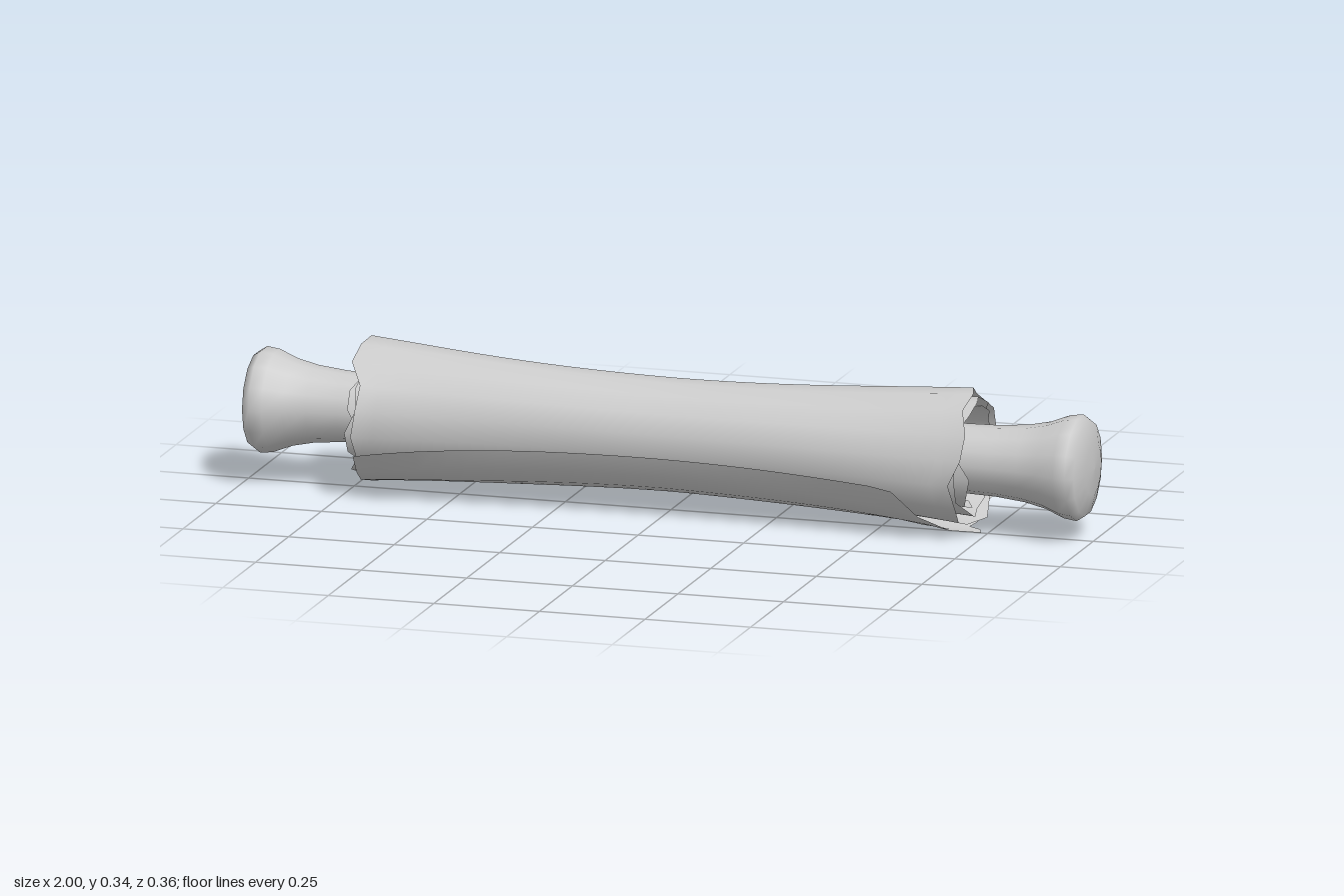
import * as THREE from 'three';

const material = new THREE.MeshStandardMaterial({ color: 0xcccccc, side: THREE.DoubleSide });

// Slightly sloping centre line shared by the rod and the sheet
const axisY = (x) => 0.175 - 0.01 * x;
const axisZ = (x) => -0.008 - 0.005 * x;

// Rod with flared, softly domed ends, turned around the x axis
function makeRod() {
  const half = [[1, 0], [0.997, 0.06], [0.983, 0.109], [0.965, 0.121], [0.935, 0.117],
    [0.89, 0.099], [0.84, 0.088], [0.77, 0.081], [0.66, 0.078]];
  const points = [
    ...half.map(([x, r]) => new THREE.Vector2(r, -x)),
    ...half.slice().reverse().map(([x, r]) => new THREE.Vector2(r, x)),
  ];
  const geometry = new THREE.LatheGeometry(points, 14);
  geometry.rotateZ(-Math.PI / 2);
  const p = geometry.attributes.position;
  for (let i = 0; i < p.count; i++) {
    const x = p.getX(i);
    p.setY(i, p.getY(i) + axisY(x));
    p.setZ(i, p.getZ(i) + axisZ(x));
  }
  return new THREE.Mesh(geometry, material);
}

// Sheet wound in a spiral: waisted in the middle, ragged at both ends
function makeSheet() {
  const turns = 3.25, freeEdge = -0.2, span = turns * Math.PI * 2;
  const geometry = new THREE.PlaneGeometry(2, 1, 28, 52);
  const p = geometry.attributes.position;
  for (let i = 0; i < p.count; i++) {
    const u = p.getX(i);
    const v = p.getY(i) + 0.5;
    let a = freeEdge - span * (1 - v);

    // Ragged ends, differing from layer to layer
    const side = u < 0 ? 0 : 1.9;
    const rag = 0.014 * Math.sin(2.3 * a + side) + 0.011 * Math.sin(5.7 * a + 2 * side);
    const x = u * 0.715 + Math.sign(u) * Math.pow(Math.abs(u), 8) * rag;

    // Free edge: sags toward the ends, with the +x corner torn away
    const last = THREE.MathUtils.clamp((a + 2) / (freeEdge + 2), 0, 1);
    const torn = THREE.MathUtils.clamp((x - 0.56) / 0.15, 0, 1);
    a += last * (-0.16 * u * u - 1.15 * torn);

    // Layers sit tight at the waist and spread at the ends
    const flare = Math.pow(Math.abs(u), 1.7);
    const layer = Math.min(1, v * 1.12);
    const inner = 0.096 + 0.014 * flare;
    const outer = 0.131 + 0.036 * flare;
    const ripple = 0.005 * flare * Math.sin(3 * a + 4 * u);
    const lift = last ** 3 * (0.004 + 0.018 * Math.max(0, -u) ** 3);
    const r = THREE.MathUtils.lerp(inner, outer, layer) + ripple + lift;
    p.setXYZ(i, x, axisY(x) + r * Math.sin(a), axisZ(x) + r * Math.cos(a));
  }
  geometry.computeVertexNormals();
  return new THREE.Mesh(geometry, material);
}

export function createModel() {
  const model = new THREE.Group();
  model.name = 'scroll';
  const rod = makeRod();
  rod.name = 'rod';
  const sheet = makeSheet();
  sheet.name = 'rolledSheet';
  model.add(rod, sheet);
  return model;
}
